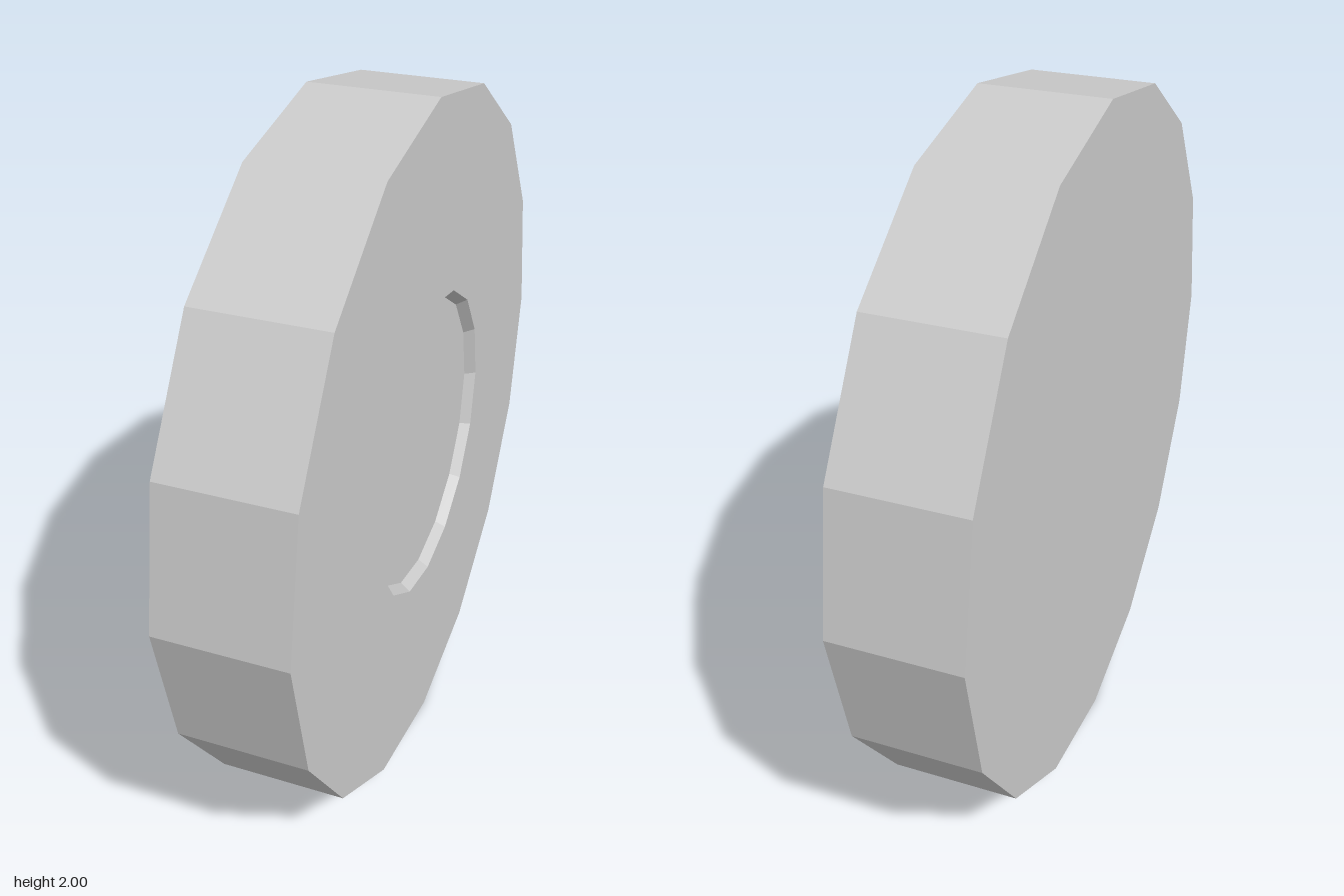
import * as THREE from 'three';

const SIDES = 16;
const RADIUS = 1;
const HALF_WIDTH = 0.177;
const RECESS_DEPTH = 0.03;

export function createModel() {
  const group = new THREE.Group();
  group.name = 'wheel';

  // Cross-section from the axis of the plain face to the floor of the recess
  const profile = [
    [0, -HALF_WIDTH],
    [RADIUS, -HALF_WIDTH],
    [RADIUS, HALF_WIDTH],
    [0.44, HALF_WIDTH],
    [0.42, HALF_WIDTH - RECESS_DEPTH],
    [0, HALF_WIDTH - RECESS_DEPTH],
  ].map(([r, y]) => new THREE.Vector2(r, y));

  // Faceted disc, turned so its axle runs along x and the recess faces +x
  const geometry = new THREE.LatheGeometry(profile, SIDES).toNonIndexed();
  geometry.rotateZ(-Math.PI / 2);
  geometry.translate(0, RADIUS, 0);
  geometry.computeVertexNormals();

  const disc = new THREE.Mesh(
    geometry,
    new THREE.MeshStandardMaterial({ color: 0xcccccc, flatShading: true })
  );
  disc.name = 'wheelDisc';
  group.add(disc);
  return group;
}
